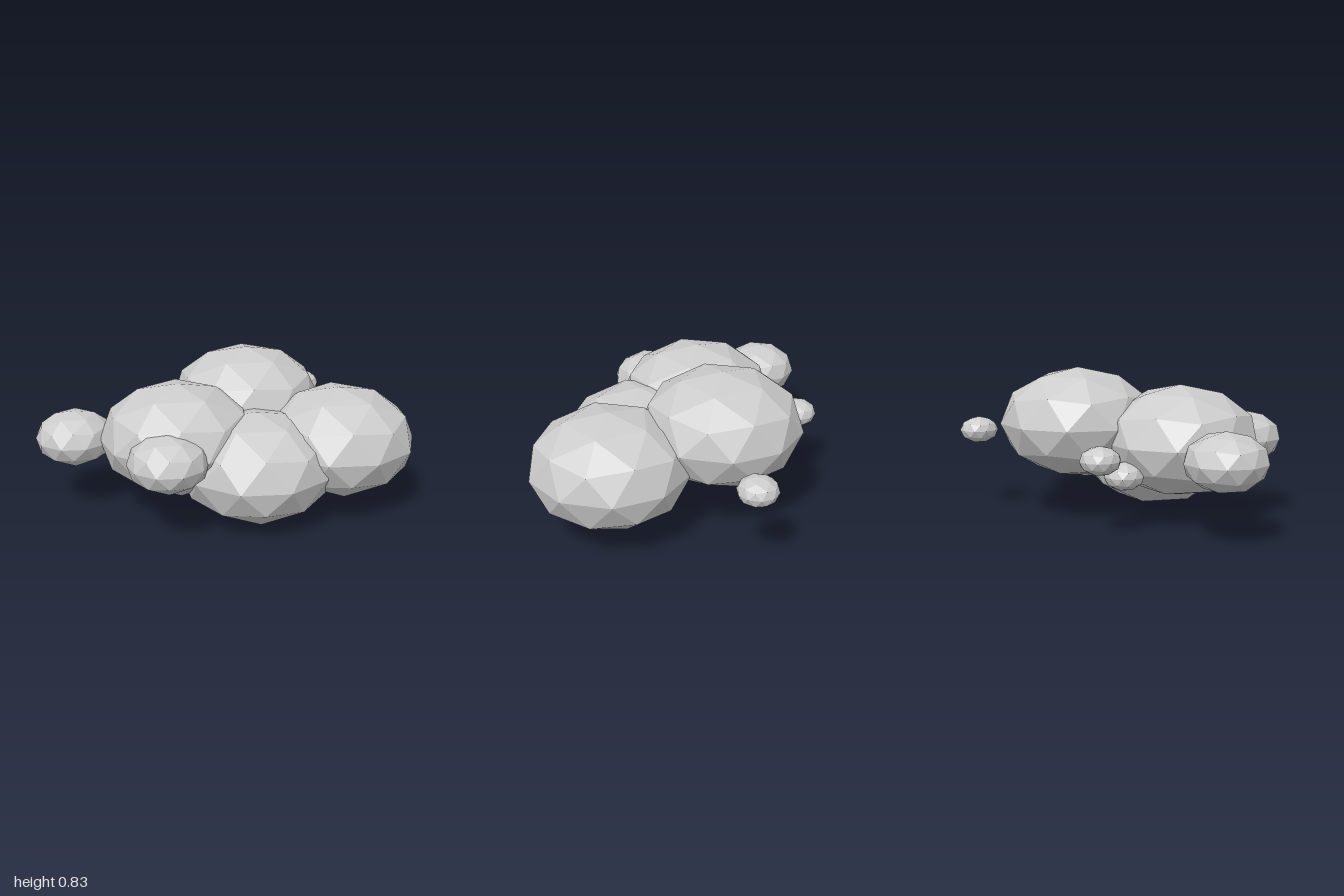
import * as THREE from 'three';

// Faceted ball with a vertex at each pole, flattened vertically
function makePuffGeometry() {
  const geometry = new THREE.IcosahedronGeometry(1, 1);
  geometry.rotateZ(-Math.atan(2 / (1 + Math.sqrt(5))));
  geometry.scale(1, 0.7, 1);
  geometry.computeVertexNormals();
  return geometry;
}

// name, centre x, y, z, horizontal radius
const PUFFS = [
  ['backPuff', 0.25, 0.523, -0.253, 0.437],
  ['leftFrontPuff', 0.58, 0.39, 0.274, 0.436],
  ['frontPuff', 0.083, 0.305, 0.247, 0.436],
  ['rightPuff', -0.28, 0.44, -0.002, 0.436],
  ['rightBackSmallPuff', -0.79, 0.414, -0.29, 0.22],
  ['rightFrontSmallPuff', -0.465, 0.435, 0.327, 0.218],
  ['backTinyPuff', -0.236, 0.4, -0.603, 0.108],
  ['leftTinyPuff', 0.776, 0.457, -0.531, 0.108],
  ['lowerTinyPuff', -0.225, 0.29, -0.405, 0.108],
];

export function createModel() {
  const cloud = new THREE.Group();
  cloud.name = 'cloud';
  const geometry = makePuffGeometry();
  const material = new THREE.MeshStandardMaterial({ color: 0xcccccc, flatShading: true });

  // Overlapping puffs and stray wisps
  for (const [name, x, y, z, radius] of PUFFS) {
    const puff = new THREE.Mesh(geometry, material);
    puff.name = name;
    puff.position.set(x, y, z);
    puff.scale.setScalar(radius);
    cloud.add(puff);
  }
  return cloud;
}
